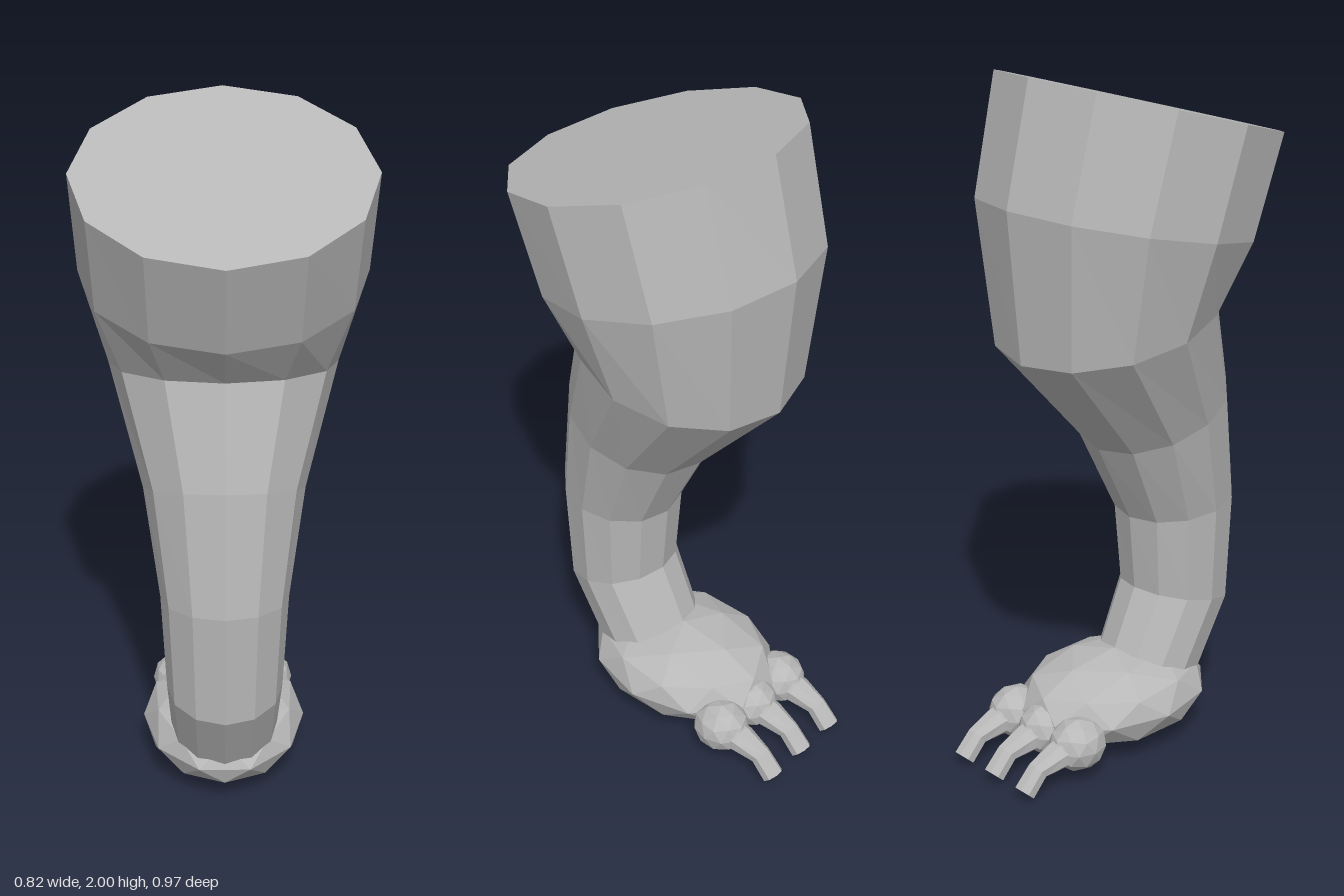
import * as THREE from 'three';

const grey = new THREE.MeshStandardMaterial({ color: 0xb8b8b8, flatShading: true });
grey.name = 'grey';

// Closed loft. Each ring is [z, y] of one edge, [z, y] of the opposite edge, and half its width in x.
function loft(rings, sides, offset = 0) {
  const pos = [];
  const index = [];
  for (const [z0, y0, z1, y1, w] of rings) {
    for (let i = 0; i < sides; i++) {
      const a = ((i + offset) / sides) * Math.PI * 2;
      const c = Math.cos(a);
      pos.push(w * Math.sin(a), (y0 + y1) / 2 + (c * (y0 - y1)) / 2, (z0 + z1) / 2 + (c * (z0 - z1)) / 2);
    }
  }
  for (let r = 0; r < rings.length - 1; r++) {
    for (let i = 0; i < sides; i++) {
      const j = (i + 1) % sides;
      const a = r * sides + i, b = r * sides + j;
      index.push(a, a + sides, b + sides, a, b + sides, b);
    }
  }
  // end caps
  const last = (rings.length - 1) * sides;
  for (let i = 1; i < sides - 1; i++) {
    index.push(0, i, i + 1, last, last + i + 1, last + i);
  }
  const g = new THREE.BufferGeometry();
  g.setAttribute('position', new THREE.Float32BufferAttribute(pos, 3));
  g.setIndex(index);
  const flat = g.toNonIndexed();
  flat.computeVertexNormals();
  return flat;
}

// Faceted ball with one corner pointing straight up
function facetedBall(rx, ry, rz) {
  const g = new THREE.IcosahedronGeometry(1, 1);
  g.rotateZ(-Math.atan(2 / (1 + Math.sqrt(5))));
  g.rotateY(Math.PI / 2);
  g.scale(rx, ry, rz);
  g.computeVertexNormals();
  return g;
}

function add(parent, name, geometry, x = 0, y = 0, z = 0) {
  const mesh = new THREE.Mesh(geometry, grey);
  mesh.name = name;
  mesh.position.set(x, y, z);
  parent.add(mesh);
}

export function createModel() {
  const model = new THREE.Group();
  model.name = 'clawedLeg';

  // thigh, knee, shin and ankle in one bent, tapering tube
  add(model, 'leg', loft([
    [0.485, 1.77, -0.30, 2.00, 0.41],
    [0.385, 1.50, -0.38, 1.66, 0.395],
    [0.28, 1.37, -0.34, 1.225, 0.32],
    [0.36, 1.08, -0.06, 0.91, 0.225],
    [0.41, 0.72, 0.06, 0.67, 0.18],
    [0.395, 0.37, 0.08, 0.44, 0.165],
    [0.27, 0.14, 0.0, 0.265, 0.155],
  ], 12));

  // foot
  add(model, 'foot', facetedBall(0.24, 0.13, 0.305), 0, 0.14, -0.005);

  // three toes, each with a hooked claw
  const toe = facetedBall(0.08, 0.077, 0.087);
  const claw = loft([
    [-0.28, 0.06, -0.28, 0.14, 0.05],
    [-0.335, 0.055, -0.35, 0.135, 0.045],
    [-0.395, 0.05, -0.435, 0.1, 0.031],
    [-0.44, 0.0, -0.488, 0.045, 0.032],
  ], 8, 0.5);
  for (const x of [-0.135, 0, 0.135]) {
    const digit = new THREE.Group();
    digit.name = 'digit';
    add(digit, 'toe', toe, 0, 0.105, -0.265);
    add(digit, 'claw', claw);
    digit.position.x = x;
    model.add(digit);
  }
  return model;
}
